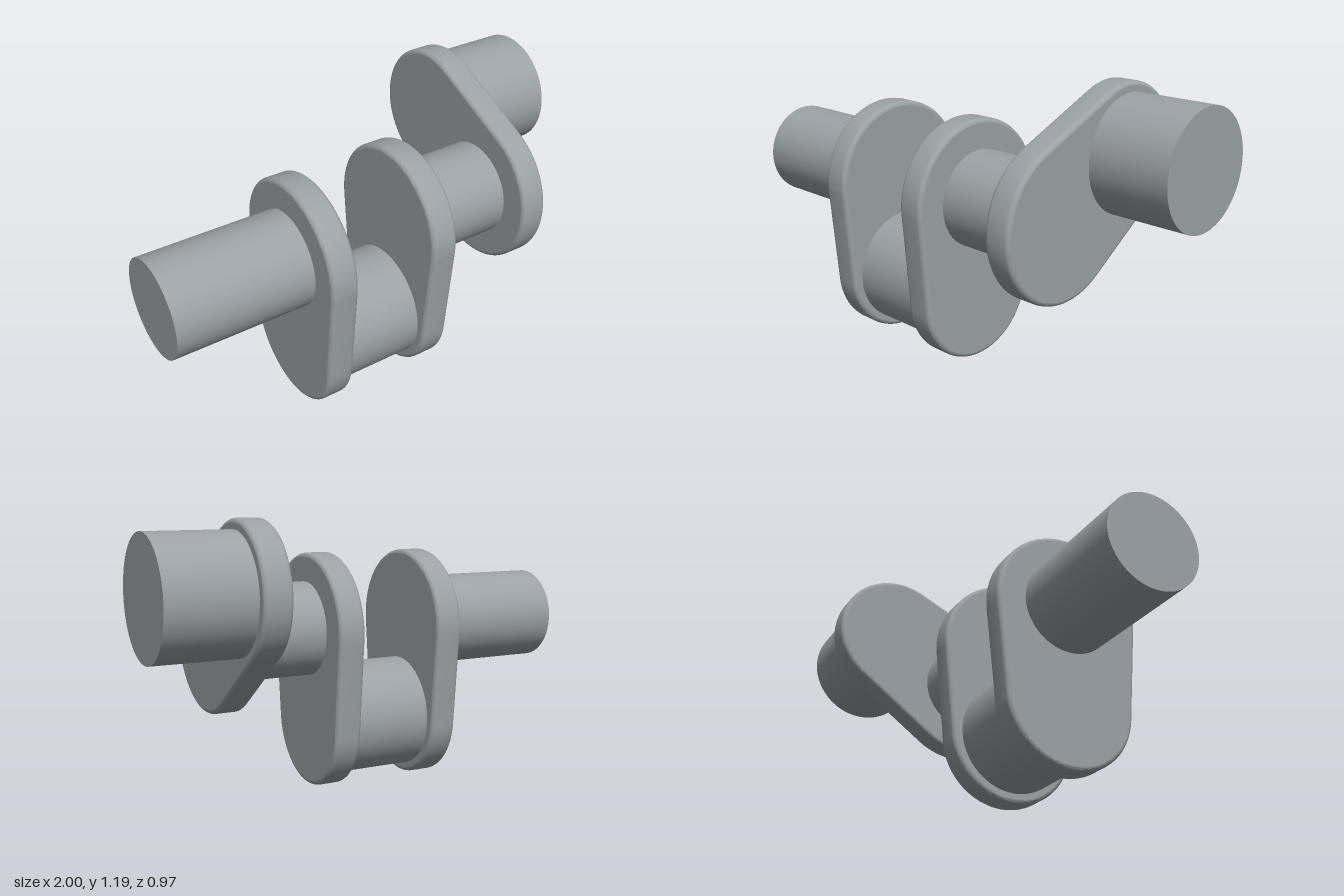
import * as THREE from 'three';
import { toCreasedNormals } from 'three/addons/utils/BufferGeometryUtils.js';

const AXIS_Y = 0.7, AXIS_Z = 0.157; // main shaft axis
const THROW = 0.41;                 // distance from main axis to each crank pin
const JOURNAL_R = 0.203, PIN_R = 0.245;
const WEB_MAIN_R = 0.326, WEB_PIN_R = 0.287, WEB_T = 0.12, FILLET = 0.02;
const DOWN = -Math.PI / 2, BACK_UP = Math.PI / 6; // crank directions (0 = toward the back)

// Tapered stadium plate with rounded rims, extruded along x
function webGeometry(dir) {
  const half = Math.PI / 2 - Math.asin((WEB_MAIN_R - WEB_PIN_R) / THROW);
  const shape = new THREE.Shape();
  shape.absarc(0, 0, WEB_MAIN_R - FILLET, dir + half, dir - half + 2 * Math.PI, false);
  shape.absarc(THROW * Math.cos(dir), THROW * Math.sin(dir), WEB_PIN_R - FILLET, dir - half, dir + half, false);
  const depth = WEB_T - 2 * FILLET;
  const extruded = new THREE.ExtrudeGeometry(shape, {
    depth, curveSegments: 40, bevelEnabled: true,
    bevelThickness: FILLET, bevelSize: FILLET, bevelSegments: 5,
  });
  extruded.translate(0, 0, -depth / 2);
  const geometry = toCreasedNormals(extruded, 0.6);
  // Keep the two faces perfectly flat
  const p = geometry.attributes.position, n = geometry.attributes.normal;
  for (let i = 0; i < p.count; i++) {
    const z = p.getZ(i);
    if (Math.abs(z) > WEB_T / 2 - 1e-4) n.setXYZ(i, 0, 0, Math.sign(z));
  }
  return geometry.rotateY(Math.PI / 2);
}

export function createModel() {
  const model = new THREE.Group();
  model.name = 'crankshaft';
  const steel = new THREE.MeshStandardMaterial({ color: 0x9ba1a5 });
  steel.name = 'steel grey';

  const add = (name, geometry, x, y, z) => {
    const mesh = new THREE.Mesh(geometry, steel);
    mesh.name = name;
    mesh.position.set(x, y, z);
    model.add(mesh);
  };

  // Round bar from x0 to x1, on the main axis or on a crank pin axis
  const bar = (name, radius, x0, x1, dir) => {
    const t = dir === undefined ? 0 : THROW;
    const a = dir ?? 0;
    const geometry = new THREE.CylinderGeometry(radius, radius, x1 - x0, 80).rotateZ(-Math.PI / 2);
    add(name, geometry, (x0 + x1) / 2, AXIS_Y + t * Math.sin(a), AXIS_Z - t * Math.cos(a));
  };

  // Shaft journals and crank pins, sunk into the webs
  bar('mainJournal', JOURNAL_R, -1, -0.36);
  bar('lowerCrankPin', PIN_R, -0.36, 0.115, DOWN);
  bar('middleJournal', JOURNAL_R, 0.115, 0.585);
  bar('upperCrankPin', PIN_R, 0.585, 1, BACK_UP);

  // Crank webs
  const webs = [
    ['firstWeb', -0.358, DOWN],
    ['secondWeb', 0.115, DOWN],
    ['thirdWeb', 0.584, BACK_UP],
  ];
  for (const [name, x, dir] of webs) add(name, webGeometry(dir), x, AXIS_Y, AXIS_Z);

  return model;
}
